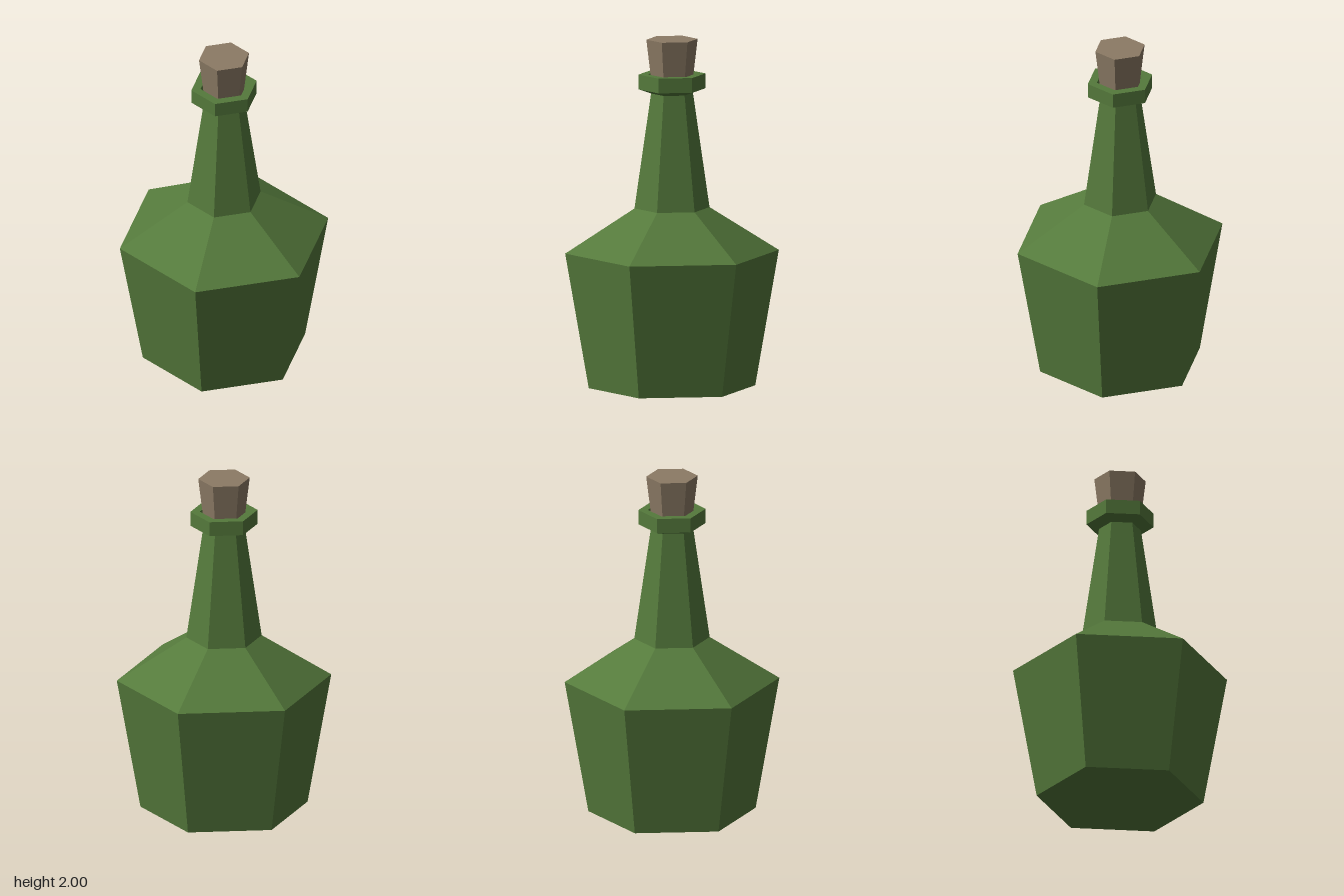
import * as THREE from 'three';

const glass = new THREE.MeshStandardMaterial({ color: 0x557a3c });
glass.name = 'greenGlass';
const corkBrown = new THREE.MeshStandardMaterial({ color: 0x8c7b65 });
corkBrown.name = 'corkBrown';

// Six-sided faceted solid from [radius, height] pairs, listed bottom to top
function hexLathe(name, profile, material) {
  const points = profile.map(([r, y]) => new THREE.Vector2(r, y));
  const geometry = new THREE.LatheGeometry(points, 6).toNonIndexed();
  geometry.computeVertexNormals();
  const mesh = new THREE.Mesh(geometry, material);
  mesh.name = name;
  return mesh;
}

export function createModel() {
  const bottle = new THREE.Group();
  bottle.name = 'bottle';

  // Closed base, flared body and sloping shoulder
  bottle.add(hexLathe('body', [[0, 0], [0.477, 0], [0.612, 0.777], [0.215, 1.03]], glass));

  // Tapering neck
  bottle.add(hexLathe('neck', [[0.215, 1.03], [0.12, 1.69]], glass));

  // Lip with a bevelled underside and a shallow opening around the cork
  bottle.add(hexLathe('lip', [
    [0.12, 1.69], [0.192, 1.715], [0.192, 1.8], [0.138, 1.8], [0.118, 1.74], [0, 1.74],
  ], glass));

  // Cork, wider at the top
  bottle.add(hexLathe('cork', [[0, 1.74], [0.116, 1.74], [0.147, 2], [0, 2]], corkBrown));

  return bottle;
}
